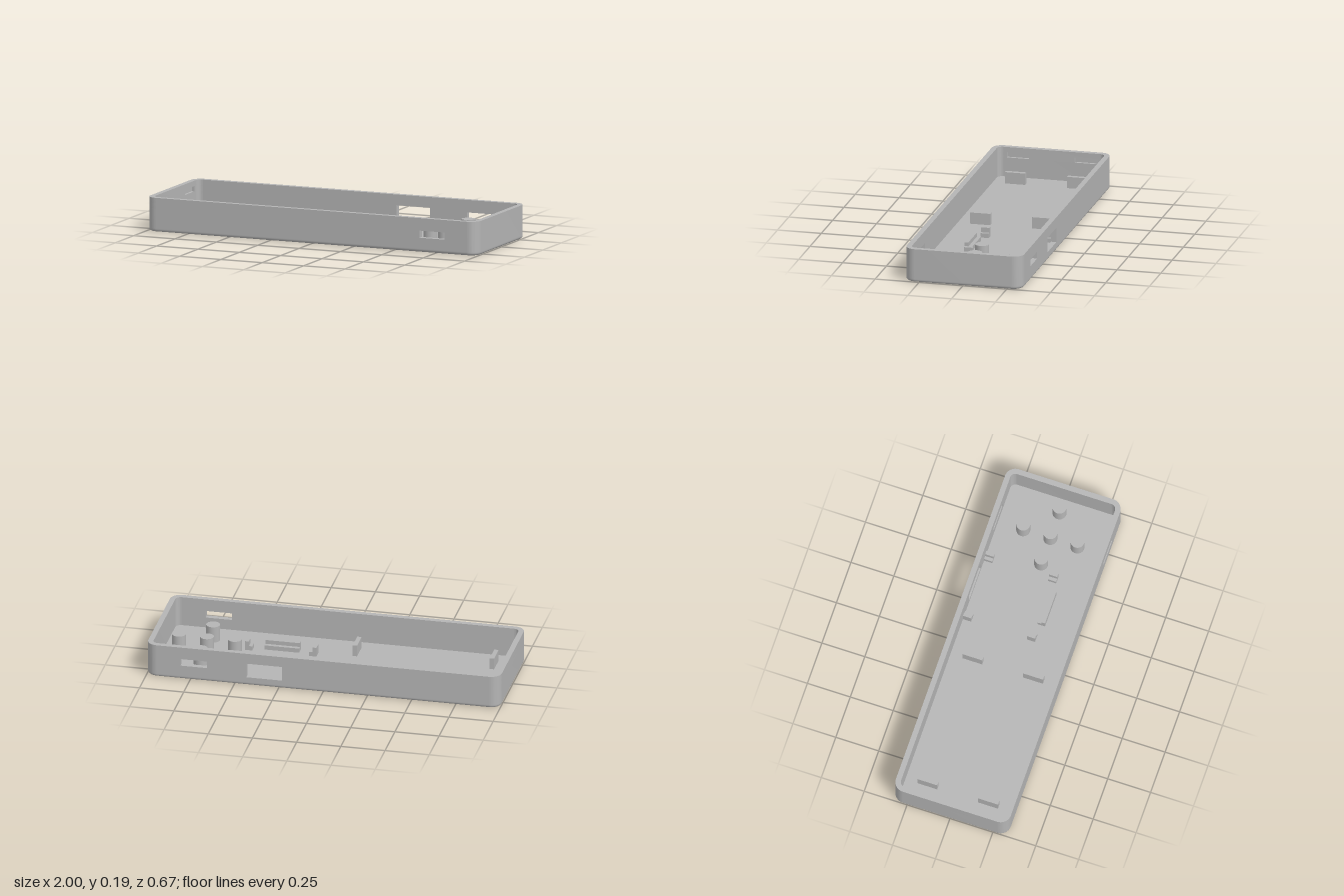
import * as THREE from 'three';
import { toCreasedNormals } from 'three/addons/utils/BufferGeometryUtils.js';

const W = 1, D = 0.335, H = 0.19;       // half width, half depth, height
const R = 0.06, T = 0.03, FLOOR = 0.02; // corner radius, wall thickness, floor
const CX = W - R, CZ = D - R;           // corner centres
const Q = Math.PI / 2;

export function createModel() {
  const model = new THREE.Group();
  model.name = 'enclosureTray';
  const plastic = new THREE.MeshStandardMaterial({ color: 0xb4b4b4 });
  plastic.name = 'grey plastic';

  const add = (name, geometry, parent = model) => {
    const mesh = new THREE.Mesh(geometry, plastic);
    mesh.name = name;
    parent.add(mesh);
    return mesh;
  };
  const box = (name, x0, x1, y1, z0, z1) => {
    const g = new THREE.BoxGeometry(x1 - x0, y1 - FLOOR, z1 - z0);
    add(name, g.translate((x0 + x1) / 2, (y1 + FLOOR) / 2, (z0 + z1) / 2));
  };
  const rect = (C, x0, x1, y0, y1) => {
    const s = new C();
    s.moveTo(x0, y0);
    s.lineTo(x1, y0);
    s.lineTo(x1, y1);
    s.lineTo(x0, y1);
    s.closePath();
    return s;
  };
  const roundedRect = (r) => {
    const s = new THREE.Shape();
    s.absarc(CX, CZ, r, 0, Q);
    s.absarc(-CX, CZ, r, Q, 2 * Q);
    s.absarc(-CX, -CZ, r, 2 * Q, 3 * Q);
    s.absarc(CX, -CZ, r, 3 * Q, 4 * Q);
    s.closePath();
    return s;
  };

  // Base: rounded lower edge lofted from inset outlines, closed by two caps
  const e = 0.015;
  const profile = [];
  for (let i = 0; i <= 5; i++) {
    const a = (i / 5) * Q;
    profile.push([e * (1 - Math.sin(a)), e * (1 - Math.cos(a))]);
  }
  profile.push([0, FLOOR]);
  const positions = [], indices = [];
  let n = 0;
  profile.forEach(([inset, y], k) => {
    const pts = roundedRect(R - inset).getPoints(10);
    n = pts.length;
    pts.forEach((p) => positions.push(p.x, y, -p.y));
    if (k === 0) return;
    for (let i = 0; i < n; i++) {
      const j = (i + 1) % n, a = (k - 1) * n, b = k * n;
      indices.push(a + i, a + j, b + j, a + i, b + j, b + i);
    }
  });
  const edge = new THREE.BufferGeometry();
  edge.setAttribute('position', new THREE.Float32BufferAttribute(positions, 3));
  edge.setIndex(indices);
  edge.computeVertexNormals();
  add('baseEdge', edge);
  add('floor', new THREE.ShapeGeometry(roundedRect(R), 10).rotateX(-Q).translate(0, FLOOR, 0));
  add('underside', new THREE.ShapeGeometry(roundedRect(R - e), 10).rotateX(Q));

  // Long walls with their cut-outs
  const slot = [0.655, 0.805, 0.08, 0.12], port = [0.23, 0.432, 0.047, 0.13];
  const longWall = (name, z, holes) => {
    const s = rect(THREE.Shape, -CX, CX, FLOOR, H);
    holes.forEach((h) => s.holes.push(rect(THREE.Path, ...h)));
    add(name, new THREE.ExtrudeGeometry(s, { depth: T, bevelEnabled: false }).translate(0, 0, z));
  };
  longWall('frontWall', D - T, [slot]);
  longWall('backWall', -D, [slot, port]);

  // End walls with rounded corners, stacked in bands where the inside is recessed
  const endWall = (name, turn, y0, y1, recessed) => {
    const s = new THREE.Shape();
    s.moveTo(CX, -D);
    s.absarc(CX, -CZ, R, -Q, 0);
    s.absarc(CX, CZ, R, 0, Q);
    s.lineTo(CX, D - T);
    s.absarc(CX, CZ, R - T, Q, 0, true);
    if (recessed) {
      for (const [a, b] of [[0.255, 0.13], [-0.13, -0.255]]) {
        s.lineTo(W - T, a);
        s.lineTo(W - T / 2, a);
        s.lineTo(W - T / 2, b);
        s.lineTo(W - T, b);
      }
    }
    s.absarc(CX, -CZ, R - T, 0, -Q, true);
    s.closePath();
    const g = new THREE.ExtrudeGeometry(s, { depth: y1 - y0, bevelEnabled: false, curveSegments: 10 });
    g.rotateX(-Q).rotateY(turn).translate(0, y0, 0);
    add(name, toCreasedNormals(g, 0.6));
  };
  endWall('leftEndWall', 0, FLOOR, H, false);
  endWall('rightEndWallLower', Math.PI, FLOOR, 0.13, false);
  endWall('rightEndWallRecessed', Math.PI, 0.13, 0.16, true);
  endWall('rightEndWallUpper', Math.PI, 0.16, H, false);

  // Button posts in a cross
  for (const [x, z] of [[0.73, 0], [0.572, 0], [0.888, 0], [0.73, -0.158], [0.73, 0.158]]) {
    const post = new THREE.CylinderGeometry(0.039, 0.039, 0.113 - FLOOR, 32);
    add('buttonPost', post.translate(x, (0.113 + FLOOR) / 2, z));
  }

  // Upright support ribs
  for (const x of [-0.855, -0.08]) {
    for (const s of [-1, 1]) {
      box('supportRib', x - 0.0125, x + 0.0125, 0.085, s * 0.177 - 0.058, s * 0.177 + 0.058);
    }
  }

  // Stepped board clips: tall outer side, low ledge facing inwards
  for (const [z0, z1] of [[-0.305, -0.257], [0.067, 0.115]]) {
    box('clipStop', 0.126, 0.148, 0.073, z0, z1);
    box('clipLedge', 0.148, 0.167, 0.045, z0, z1);
    box('clipStop', 0.508, 0.53, 0.073, z0, z1);
    box('clipLedge', 0.489, 0.508, 0.045, z0, z1);
  }

  // Stepped board rail
  box('railStop', 0.23, 0.425, 0.068, 0.117, 0.138);
  box('railLedge', 0.23, 0.425, 0.045, 0.095, 0.117);

  return model;
}
